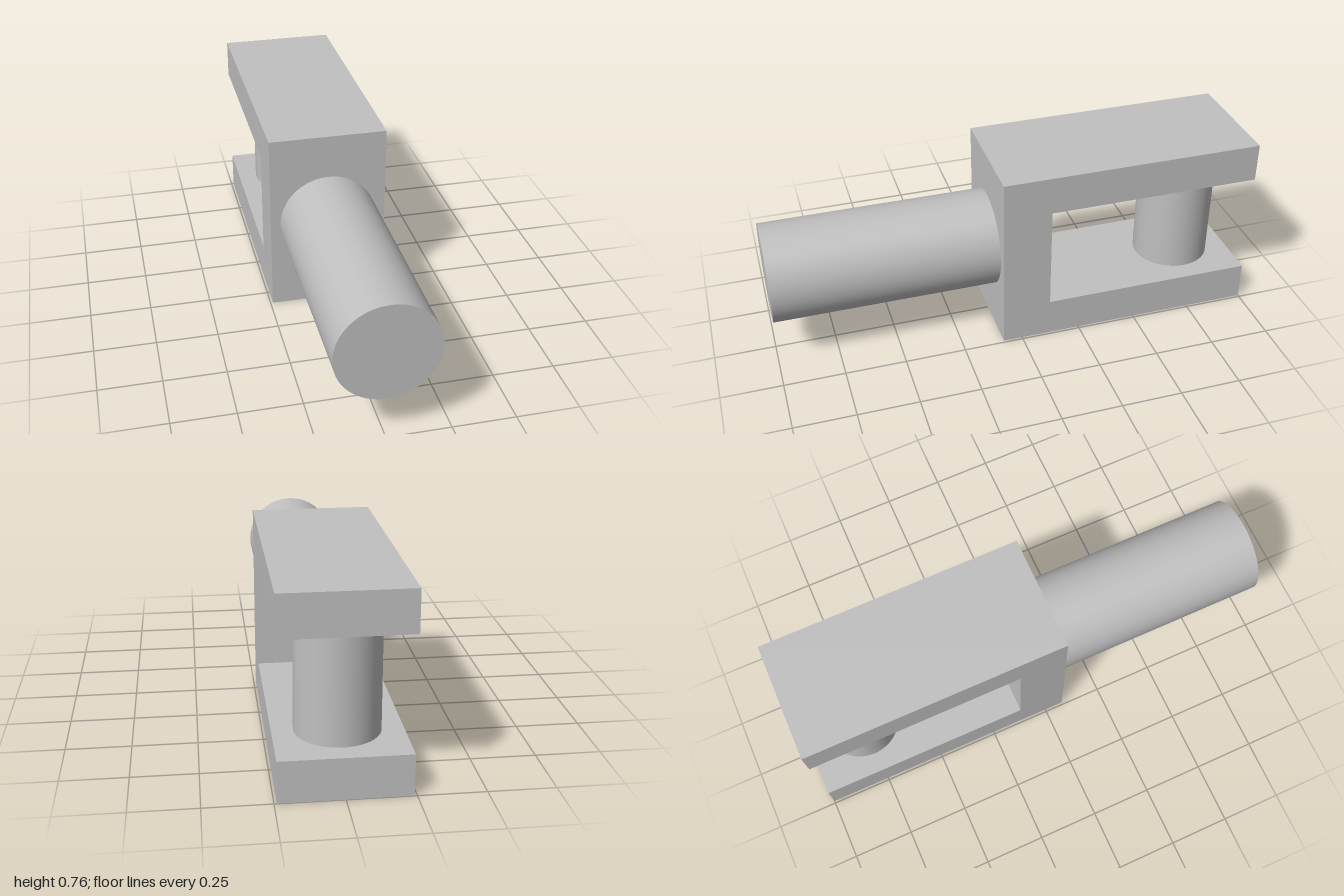
import * as THREE from 'three';

export function createModel() {
  const model = new THREE.Group();
  const steel = new THREE.MeshStandardMaterial({ color: 0xc0c0c0 });
  steel.name = 'lightGrey';

  const add = (name, geometry, x, y, z) => {
    const mesh = new THREE.Mesh(geometry, steel);
    mesh.name = name;
    mesh.position.set(x, y, z);
    model.add(mesh);
  };

  // C-shaped fork: side profile (distance towards the back, height), extruded across the width
  const width = 0.48;
  const profile = new THREE.Shape([
    [-0.08, 0], [1, 0], [1, 0.16], [0.12, 0.16],
    [0.12, 0.6], [1, 0.6], [1, 0.76], [-0.08, 0.76],
  ].map(([back, y]) => new THREE.Vector2(back, y)));
  const fork = new THREE.ExtrudeGeometry(profile, { depth: width, bevelEnabled: false });
  fork.translate(0, 0, -width / 2).rotateY(Math.PI / 2);
  add('fork', fork, 0, 0, 0);

  // Round shank reaching forward from the fork
  const shank = new THREE.CylinderGeometry(0.2, 0.2, 0.92, 96).rotateX(Math.PI / 2);
  add('shank', shank, 0, 0.38, 0.54);

  // Upright pin between the two fork arms
  add('pin', new THREE.CylinderGeometry(0.16, 0.16, 0.44, 96), 0, 0.38, -0.76);

  return model;
}
